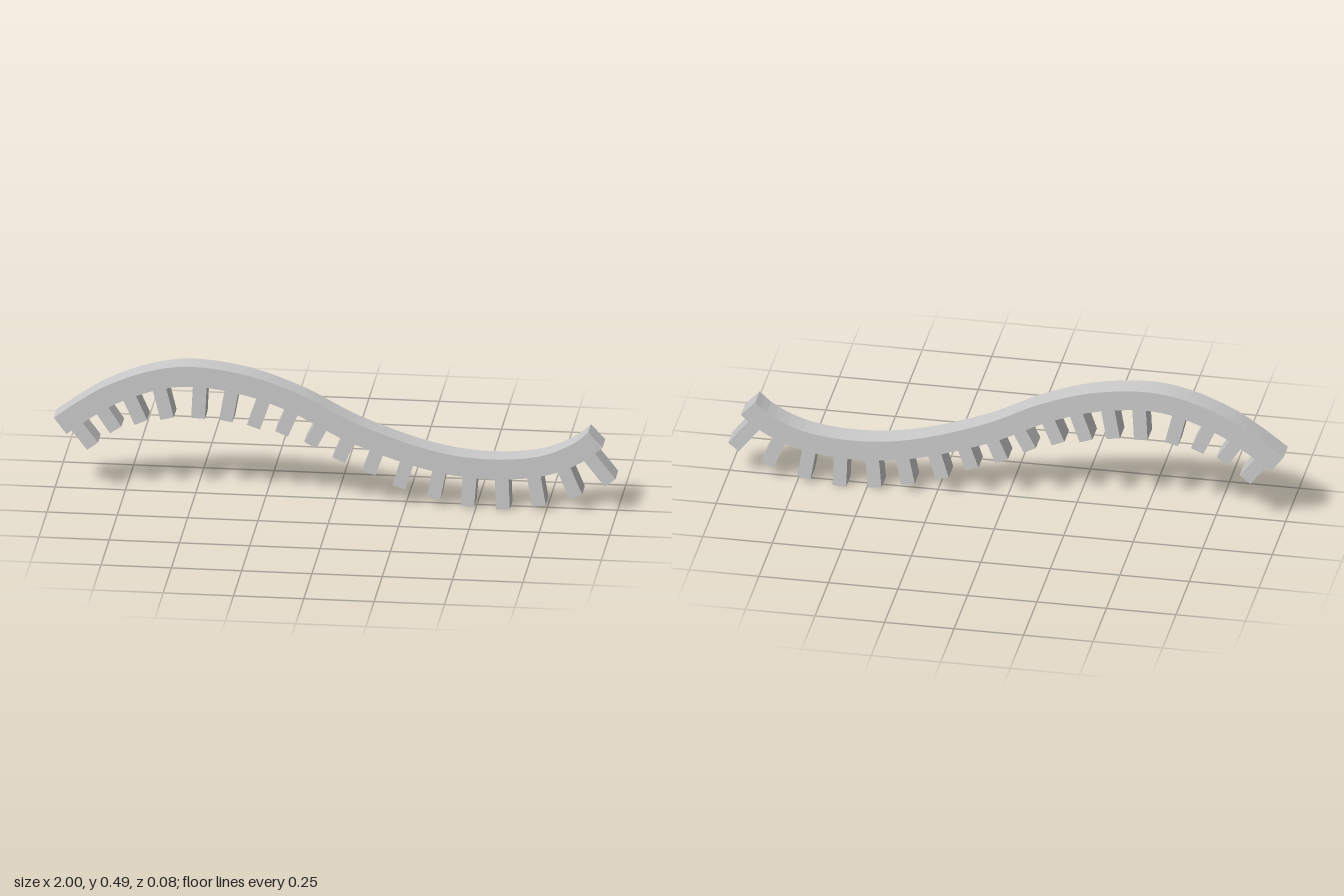
import * as THREE from 'three';

const WIDTH = 0.084;      // depth along z
const THICK = 0.075;      // thickness of the wavy band
const TOOTH = 0.049;      // width of one tooth
const EMBED = 0.008;      // how far a tooth sinks into the band

// Upper edge of the band
const EDGE = [
  [-1, 0.28], [-0.9, 0.354], [-0.8, 0.415], [-0.65, 0.473], [-0.495, 0.493], [-0.3, 0.466],
  [-0.12, 0.403], [0, 0.341], [0.1, 0.294], [0.28, 0.231], [0.43, 0.198], [0.57, 0.19],
  [0.69, 0.201], [0.772, 0.224], [0.85, 0.264], [0.9, 0.307],
];

// Middle of each tooth's tip
const TIPS = [
  [-0.862, 0.178], [-0.78, 0.243], [-0.69, 0.275], [-0.597, 0.294], [-0.487, 0.3], [-0.388, 0.294],
  [-0.29, 0.275], [-0.19, 0.254], [-0.088, 0.216], [0.013, 0.163], [0.12, 0.12], [0.227, 0.07],
  [0.35, 0.035], [0.47, 0.009], [0.597, 0.003], [0.725, 0.022], [0.856, 0.063], [0.978, 0.12],
];

export function createModel() {
  const group = new THREE.Group();
  group.name = 'wavyToothedStrip';
  const material = new THREE.MeshStandardMaterial({ color: 0xcccccc });

  // Wavy band: the edge curve and its offset along the normal, extruded
  const curve = new THREE.SplineCurve(EDGE.map(([x, y]) => new THREE.Vector2(x, y)));
  const top = curve.getSpacedPoints(72);
  const bottom = top.map((p, i) => {
    const a = top[Math.max(i - 1, 0)], b = top[Math.min(i + 1, top.length - 1)];
    const t = b.clone().sub(a).normalize();
    return new THREE.Vector2(p.x + t.y * THICK, p.y - t.x * THICK);
  });
  const outline = new THREE.Shape([...bottom, ...top.slice().reverse()]);
  const bandGeometry = new THREE.ExtrudeGeometry(outline, { depth: WIDTH, bevelEnabled: false });
  bandGeometry.translate(0, 0, -WIDTH / 2);
  const band = new THREE.Mesh(bandGeometry, material);
  band.name = 'band';
  group.add(band);

  // Teeth: each stands square to the band, from its underside to its tip
  const fine = curve.getSpacedPoints(600);
  const teeth = new THREE.Group();
  teeth.name = 'teeth';
  for (const [x, y] of TIPS) {
    const tip = new THREE.Vector2(x, y);
    const foot = fine.reduce((best, p) => (p.distanceTo(tip) < best.distanceTo(tip) ? p : best));
    const up = foot.clone().sub(tip);
    const length = up.length() - THICK + EMBED;
    up.normalize();
    const tooth = new THREE.Mesh(new THREE.BoxGeometry(TOOTH, length, WIDTH), material);
    tooth.name = 'tooth';
    tooth.position.set(x + up.x * length / 2, y + up.y * length / 2, 0);
    tooth.rotation.z = Math.atan2(-up.x, up.y);
    teeth.add(tooth);
  }
  group.add(teeth);
  return group;
}
